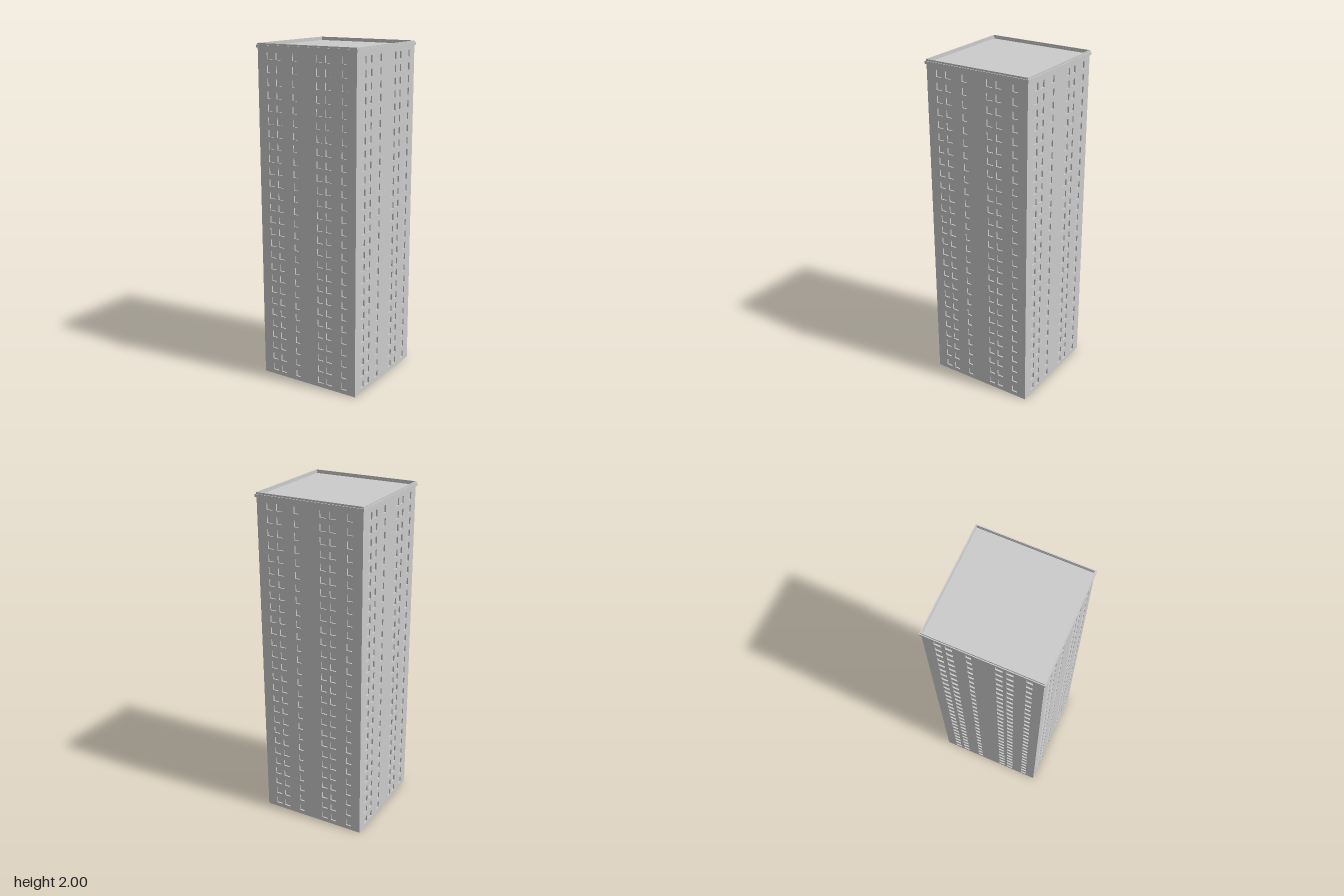
import * as THREE from 'three';
import { mergeGeometries } from 'three/addons/utils/BufferGeometryUtils.js';

const HALF = 0.323;      // half width of the tower
const WALL_TOP = 1.98;
const FLOORS = 27;
const PITCH = 0.0725;    // storey height
const SILL = 0.026;      // height of the first sill
const DEPTH = 0.008;     // window recess

// Window columns of one facade: [centre, width]
const COLUMNS = [
  [-0.242, 0.038], [-0.181, 0.038], [-0.075, 0.03],
  [0.086, 0.038], [0.145, 0.038], [0.248, 0.034],
];
const WINDOW_H = 0.04;

const material = new THREE.MeshStandardMaterial({
  color: 0xcccccc, flatShading: true, side: THREE.DoubleSide,
});

function rectangle(PathType, x0, y0, x1, y1) {
  const p = new PathType();
  p.moveTo(x0, y0);
  p.lineTo(x1, y0);
  p.lineTo(x1, y1);
  p.lineTo(x0, y1);
  p.closePath();
  return p;
}

// Box without its front face: jambs, sill, lintel and pane of a window
function recess(x, y, width) {
  const box = new THREE.BoxGeometry(width, WINDOW_H, DEPTH);
  const index = Array.from(box.index.array);
  index.splice(24, 6);
  box.setIndex(index);
  box.clearGroups();
  return box.translate(x, y + WINDOW_H / 2, -DEPTH / 2);
}

// Square frame lying flat between two heights
function squareRing(name, outer, inner, y0, y1) {
  const shape = rectangle(THREE.Shape, -outer, -outer, outer, outer);
  shape.holes.push(rectangle(THREE.Path, -inner, -inner, inner, inner));
  const geo = new THREE.ExtrudeGeometry(shape, { depth: y1 - y0, bevelEnabled: false });
  geo.rotateX(-Math.PI / 2).translate(0, y0, 0);
  const mesh = new THREE.Mesh(geo, material);
  mesh.name = name;
  return mesh;
}

export function createModel() {
  const tower = new THREE.Group();
  tower.name = 'towerBlock';

  // One facade: a wall sheet with openings, and the recessed windows
  const wall = rectangle(THREE.Shape, -HALF, 0, HALF, WALL_TOP);
  const recesses = [];
  for (let floor = 0; floor < FLOORS; floor++) {
    const y = SILL + floor * PITCH;
    for (const [x, w] of COLUMNS) {
      wall.holes.push(rectangle(THREE.Path, x - w / 2, y, x + w / 2, y + WINDOW_H));
      recesses.push(recess(x, y, w));
    }
  }
  const wallGeometry = new THREE.ShapeGeometry(wall);
  const windowGeometry = mergeGeometries(recesses);

  // The same facade on all four sides
  ['front', 'left', 'back', 'right'].forEach((side, i) => {
    const facade = new THREE.Group();
    facade.name = side + 'Facade';
    const sheet = new THREE.Mesh(wallGeometry, material);
    sheet.name = side + 'Wall';
    const windows = new THREE.Mesh(windowGeometry, material);
    windows.name = side + 'Windows';
    facade.add(sheet, windows);
    facade.rotation.y = i * Math.PI / 2;
    facade.position.set(HALF * Math.sin(facade.rotation.y), 0, HALF * Math.cos(facade.rotation.y));
    tower.add(facade);
  });

  // Roof deck sunk behind a stepped parapet
  const roof = new THREE.Mesh(new THREE.PlaneGeometry(2 * HALF, 2 * HALF), material);
  roof.name = 'roof';
  roof.rotation.x = -Math.PI / 2;
  roof.position.y = 1.98;
  tower.add(roof);
  tower.add(squareRing('cornice', 0.33, 0.319, 1.974, 1.99));
  tower.add(squareRing('parapet', 0.325, 0.32, 1.99, 2.0));

  return tower;
}
